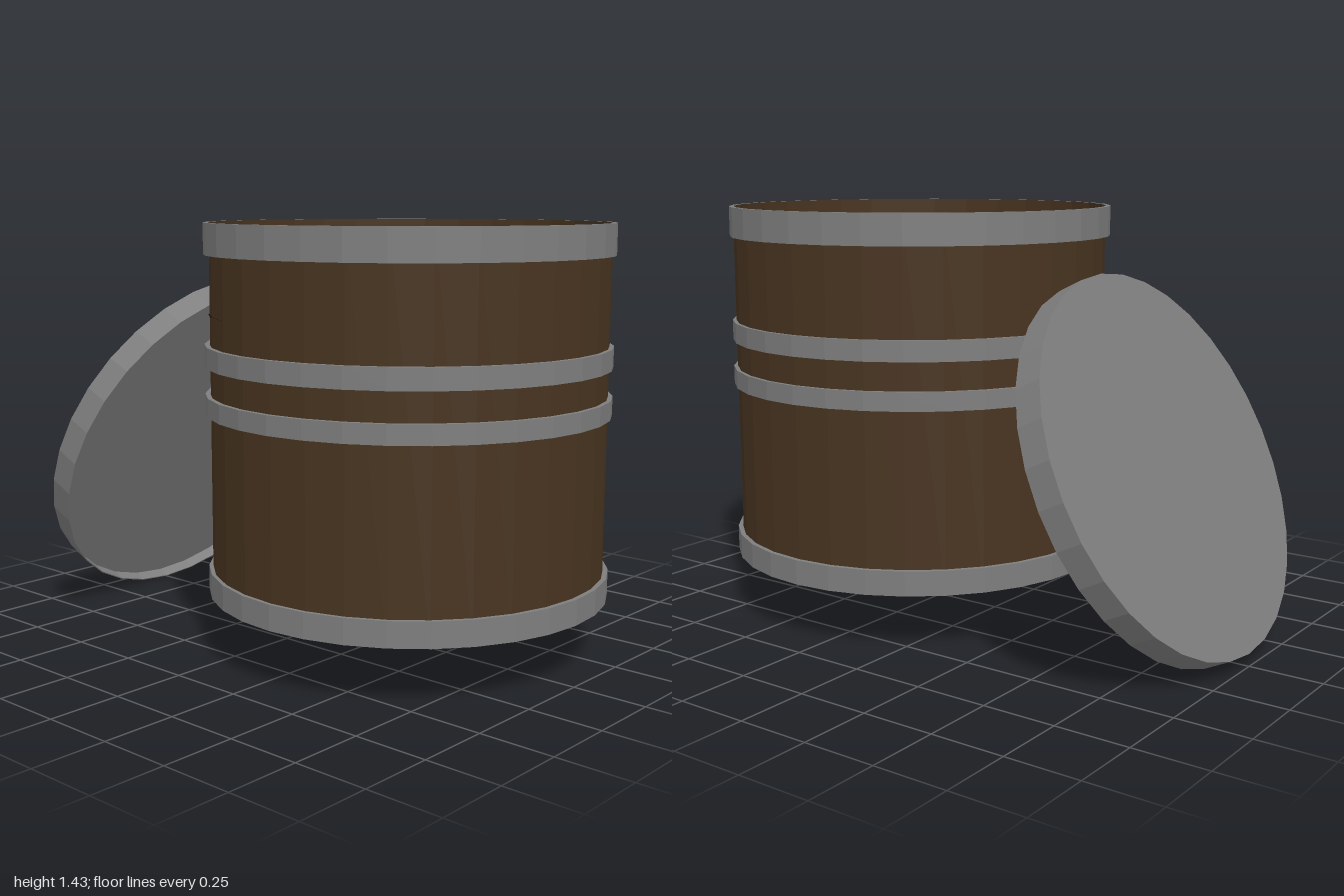
import * as THREE from 'three';

const SIDES = 32;

export function createModel() {
  const model = new THREE.Group();
  model.name = 'barrelWithLid';

  const wood = new THREE.MeshStandardMaterial({ color: 0x483420, side: THREE.DoubleSide });
  wood.name = 'brown wood';
  const metal = new THREE.MeshStandardMaterial({ color: 0x7e7e7e });
  metal.name = 'grey metal';
  const tar = new THREE.MeshStandardMaterial({ color: 0x050505 });
  tar.name = 'black liquid';

  // Splits shared vertices so every facet is flat
  const facet = (geometry) => {
    const flat = geometry.toNonIndexed();
    flat.computeVertexNormals();
    return flat;
  };
  const add = (parent, name, geometry, material, x, y, z) => {
    const mesh = new THREE.Mesh(facet(geometry), material);
    mesh.name = name;
    mesh.position.set(x, y, z);
    parent.add(mesh);
    return mesh;
  };
  const lathe = (points) =>
    new THREE.LatheGeometry(points.map(([r, y]) => new THREE.Vector2(r, y)), SIDES);

  const barrel = new THREE.Group();
  barrel.name = 'barrel';
  barrel.position.z = 0.327;
  model.add(barrel);

  // Open-topped wooden wall and floor
  add(barrel, 'barrelWall', lathe([[0.656, 0.2], [0.656, 1.43]]), wood, 0, 0, 0);
  const floor = add(barrel, 'barrelFloor', new THREE.CircleGeometry(0.656, SIDES), wood, 0, 0.203, 0);
  floor.rotation.x = Math.PI / 2;

  // Metal hoops wrapped round the wall: name, bottom, top, sideways shift
  const hoops = [
    ['bottomHoop', 0.2, 0.284, 0.003],
    ['lowerMiddleHoop', 0.807, 0.87, -0.003],
    ['upperMiddleHoop', 0.965, 1.034, -0.004],
    ['rimHoop', 1.327, 1.43, -0.004],
  ];
  for (const [name, y0, y1, x] of hoops) {
    const ring = lathe([[0.656, y0], [0.672, y0], [0.672, y1], [0.656, y1]]);
    add(barrel, name, ring, metal, x, 0, 0);
  }

  // Dark liquid, a little off centre
  const liquid = add(barrel, 'liquid', new THREE.CircleGeometry(0.638, SIDES), tar, -0.01, 1.13, -0.022);
  liquid.rotation.x = -Math.PI / 2;

  // Lid leaning against the back of the barrel, hollow on the side facing it
  const lidProfile = [
    [0, -0.005], [0.652, -0.005], [0.652, -0.0475],
    [0.656, -0.0475], [0.656, 0.0475], [0, 0.0475],
  ];
  const lid = add(model, 'lid', lathe(lidProfile), metal, 0, 0.613, -0.67);
  lid.rotation.x = -1.12;

  return model;
}
